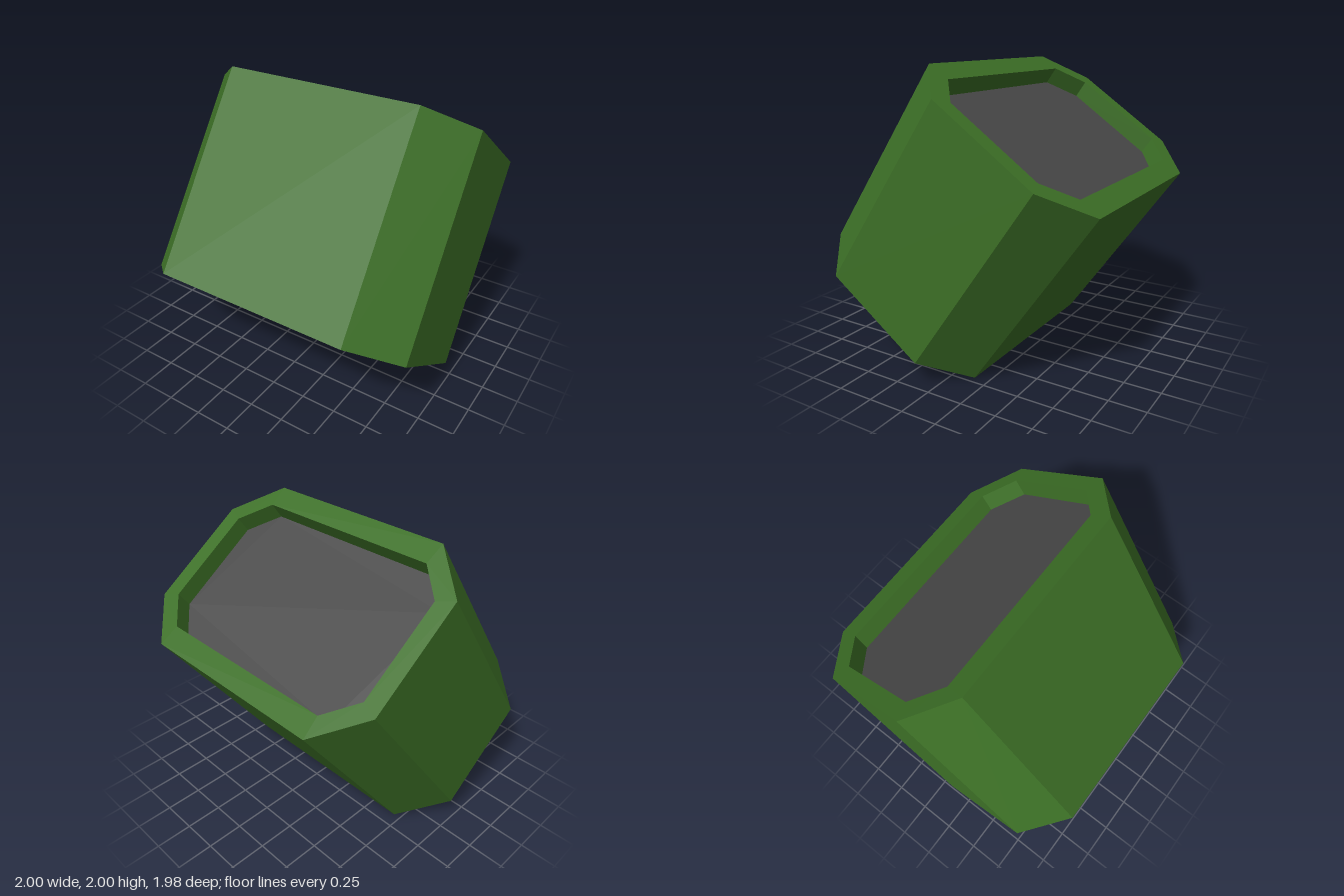
import * as THREE from 'three';

// Chamfered rectangle outline, counter-clockwise
function octagon(w, h, c) {
  return [
    [w - c, -h], [w, -h + c], [w, h - c], [w - c, h],
    [-w + c, h], [-w, h - c], [-w, -h + c], [-w + c, -h],
  ].map(([x, y]) => new THREE.Vector2(x, y));
}

// Flat-sided band that follows an outline between two heights
function band(points, y0, y1) {
  const pos = [];
  points.forEach((a, i) => {
    const b = points[(i + 1) % points.length];
    pos.push(a.x, y0, -a.y, b.x, y0, -b.y, b.x, y1, -b.y);
    pos.push(a.x, y0, -a.y, b.x, y1, -b.y, a.x, y1, -a.y);
  });
  const geo = new THREE.BufferGeometry();
  geo.setAttribute('position', new THREE.Float32BufferAttribute(pos, 3));
  geo.computeVertexNormals();
  return geo;
}

// Upward-facing flat plate at a given height
function plate(shape, y) {
  return new THREE.ShapeGeometry(shape).rotateX(-Math.PI / 2).translate(0, y, 0);
}

export function createModel() {
  const green = new THREE.MeshStandardMaterial({ color: 0x3c6f26, side: THREE.DoubleSide });
  green.name = 'green';
  const grey = new THREE.MeshStandardMaterial({ color: 0x484848, side: THREE.DoubleSide });
  grey.name = 'darkGrey';

  const half = 0.733, depth = 0.13;
  const outer = octagon(1, 0.695, 0.3);
  const inner = octagon(0.88, 0.54, 0.195);

  const body = new THREE.Group();
  body.name = 'tiltedHousing';
  const add = (name, geo, mat) => {
    const mesh = new THREE.Mesh(geo, mat);
    mesh.name = name;
    body.add(mesh);
  };

  // Outer shell, open at the lower end
  add('shell', band(outer, -half, half), green);

  // Rim around the opening
  const rim = new THREE.Shape(outer);
  rim.holes.push(new THREE.Path(inner));
  add('rim', plate(rim, half), green);

  // Recess walls face inward, with the panel at their foot
  add('recessWall', band([...inner].reverse(), half - depth, half), green);
  add('panel', plate(new THREE.Shape(inner), half - depth), grey);

  // Lean the housing toward the back
  body.rotation.x = -THREE.MathUtils.degToRad(35);
  body.position.y = 1;

  const model = new THREE.Group();
  model.name = 'model';
  model.add(body);
  return model;
}
